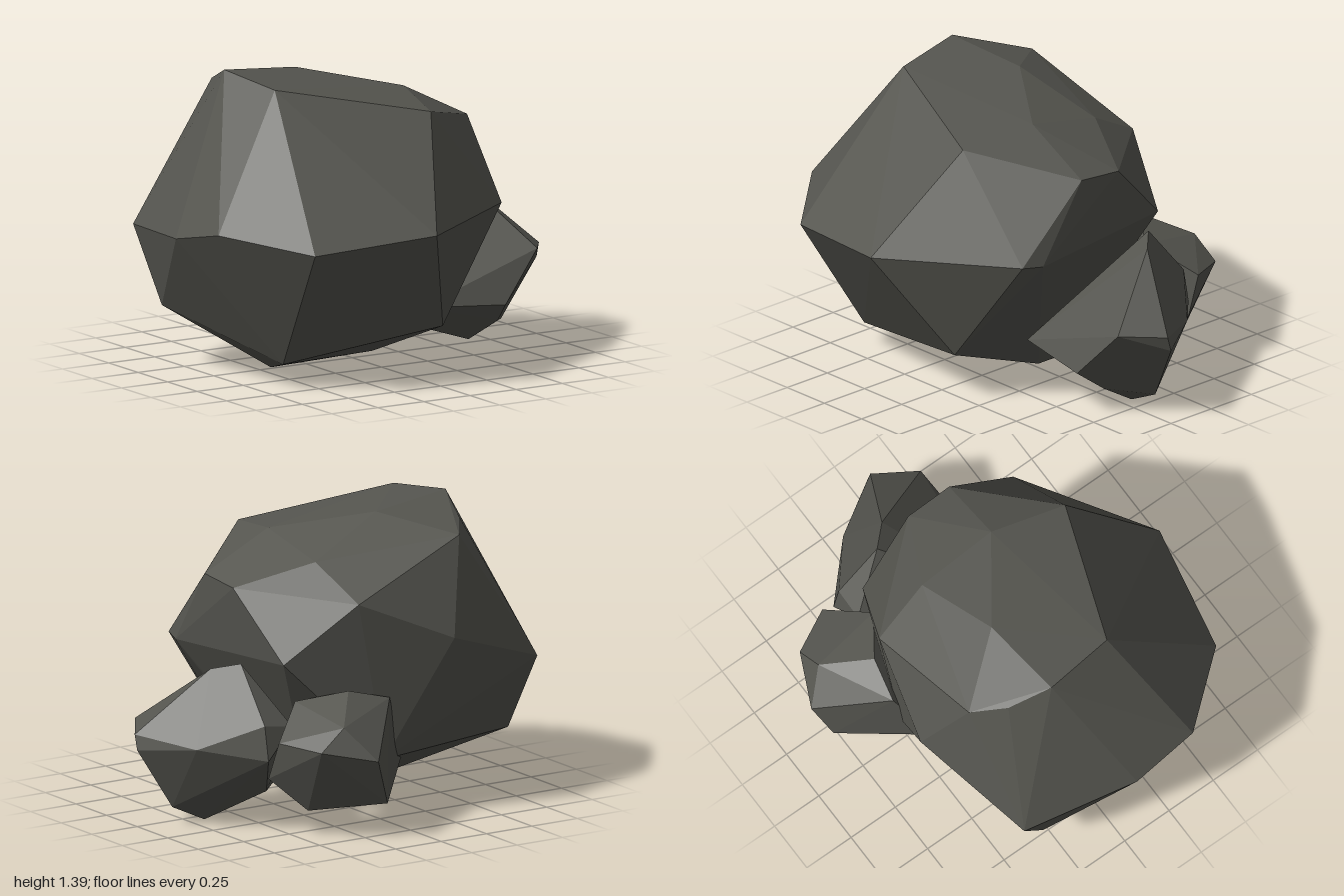
import * as THREE from 'three';
import { ConvexGeometry } from 'three/addons/geometries/ConvexGeometry.js';

export function createModel() {
  const group = new THREE.Group();
  const stone = new THREE.MeshStandardMaterial({ color: 0x55554f, flatShading: true });
  stone.name = 'dark grey stone';

  // A faceted stone is the convex hull of its corners
  function addStone(name, corners) {
    const points = corners.map(([x, y, z]) => new THREE.Vector3(x, y, z));
    const mesh = new THREE.Mesh(new ConvexGeometry(points), stone);
    mesh.name = name;
    group.add(mesh);
  }

  addStone('boulder', [
    // crown
    [-0.61, 1.4, -0.13], [-0.56, 1.36, 0.22], [-0.2, 1.36, -0.17], [0.2, 1.28, 0.12],
    [0.12, 1.23, 0.48], [0.2, 1.2, -0.27], [-0.45, 1.28, -0.48], [-0.55, 1.32, -0.33],
    // shoulder
    [0.54, 1.11, 0.13], [0.54, 1.09, -0.1], [0.15, 1.05, -0.55], [-0.31, 0.85, -0.65],
    // waist
    [-0.88, 0.65, -0.48], [-1, 0.69, 0.07], [-0.98, 0.76, 0.4], [-0.68, 0.69, 0.75],
    [-0.09, 0.74, 0.86], [0.51, 0.76, 0.47], [0.54, 0.75, 0.37], [0.47, 0.78, -0.41],
    // underside
    [-0.82, 0.29, -0.33], [-0.63, 0.12, 0.4], [0.14, 0.24, 0.55], [0, 0.3, -0.54],
    [-0.53, 0.05, 0.14], [0.11, 0.03, -0.1], [0.11, 0.03, 0],
  ]);

  addStone('sideStone', [
    [0.59, 0.77, -0.24], [0.69, 0.74, -0.14], [0.87, 0.46, 0.21], [1, 0.44, 0.02],
    [1, 0.37, 0], [0.66, 0.23, 0.27], [0.25, 0.25, 0.2], [0.19, 0.17, 0],
    [0.7, 0.13, 0.14], [0.84, 0.09, -0.05], [0.67, 0.01, -0.06], [0.84, 0.4, -0.25],
    [0.6, 0.52, -0.45], [0.6, 0.36, -0.48], [0.45, 0.5, -0.45], [0.45, 0.15, -0.24],
  ]);

  addStone('backStone', [
    [0.2, 0.65, -0.54], [0.36, 0.54, -0.74], [0, 0.6, -0.58], [0.25, 0.39, -0.86],
    [0.49, 0.44, -0.75], [0.59, 0.46, -0.55], [0.6, 0.28, -0.48], [0.16, 0.17, -0.8],
    [0.45, 0.13, -0.58], [0.3, 0.1, -0.42], [-0.15, 0.27, -0.45], [0.4, 0.6, -0.4],
  ]);

  return group;
}
